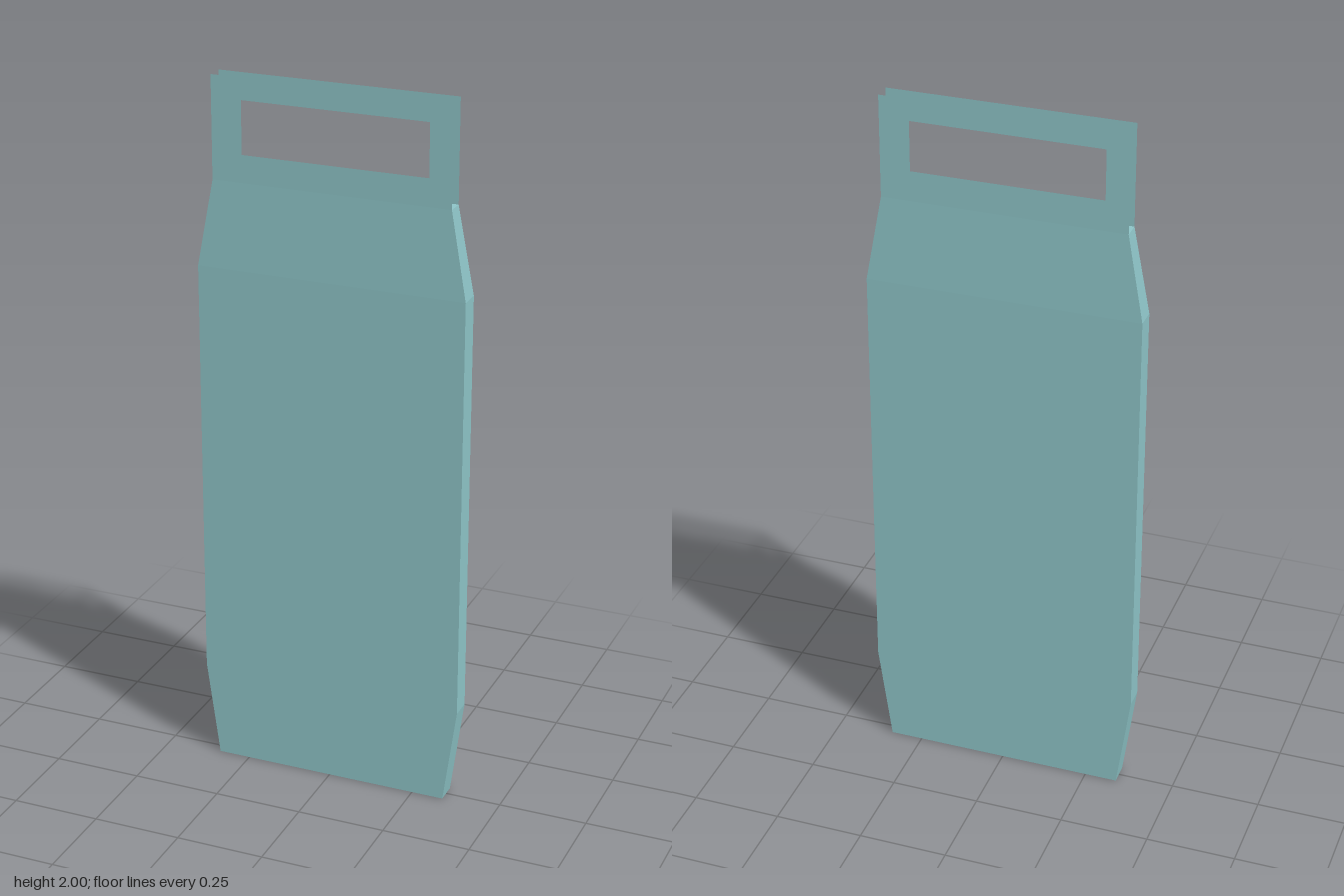
import * as THREE from 'three';

const material = new THREE.MeshStandardMaterial({ color: 0x8ec5c8, flatShading: true, side: THREE.DoubleSide });

// Cross-sections of the bag from bottom to top: [y, half width, half depth]
const SECTIONS = [
  [0, 0.341, 0.0305],
  [0.277, 0.379, 0.0305],
  [1.475, 0.379, 0.0305],
  [1.717, 0.3345, 0.0245],
];

// Closed body lofted through the rectangular cross-sections
function bodyGeometry() {
  const positions = [];
  const index = [];
  for (const [y, w, d] of SECTIONS) {
    positions.push(w, y, d, -w, y, d, -w, y, -d, w, y, -d);
  }
  const top = (SECTIONS.length - 1) * 4;
  for (let base = 0; base < top; base += 4) {
    for (let i = 0; i < 4; i++) {
      const a = base + i;
      const b = base + ((i + 1) % 4);
      index.push(b, a, a + 4, b, a + 4, b + 4);
    }
  }
  index.push(0, 1, 2, 0, 2, 3);
  index.push(top, top + 2, top + 1, top, top + 3, top + 2);

  const indexed = new THREE.BufferGeometry();
  indexed.setAttribute('position', new THREE.Float32BufferAttribute(positions, 3));
  indexed.setIndex(index);
  const geometry = indexed.toNonIndexed();
  geometry.computeVertexNormals();
  return geometry;
}

function rectangle(target, halfWidth, bottom, top) {
  target.moveTo(-halfWidth, bottom);
  target.lineTo(halfWidth, bottom);
  target.lineTo(halfWidth, top);
  target.lineTo(-halfWidth, top);
  target.closePath();
  return target;
}

// Paper-thin handle panel with a rectangular grip opening
function handleGeometry() {
  const panel = rectangle(new THREE.Shape(), 0.3345, 1.717, 2);
  panel.holes.push(rectangle(new THREE.Path(), 0.272, 1.777, 1.94));
  return new THREE.ShapeGeometry(panel);
}

export function createModel() {
  const bag = new THREE.Group();
  bag.name = 'bag';

  const body = new THREE.Mesh(bodyGeometry(), material);
  body.name = 'body';
  bag.add(body);

  // One handle along each top edge, each facing outward
  const panel = handleGeometry();
  for (const side of [1, -1]) {
    const handle = new THREE.Mesh(panel, material);
    handle.name = side > 0 ? 'frontHandle' : 'backHandle';
    handle.position.z = side * 0.0245;
    if (side < 0) handle.rotation.y = Math.PI;
    bag.add(handle);
  }
  return bag;
}
